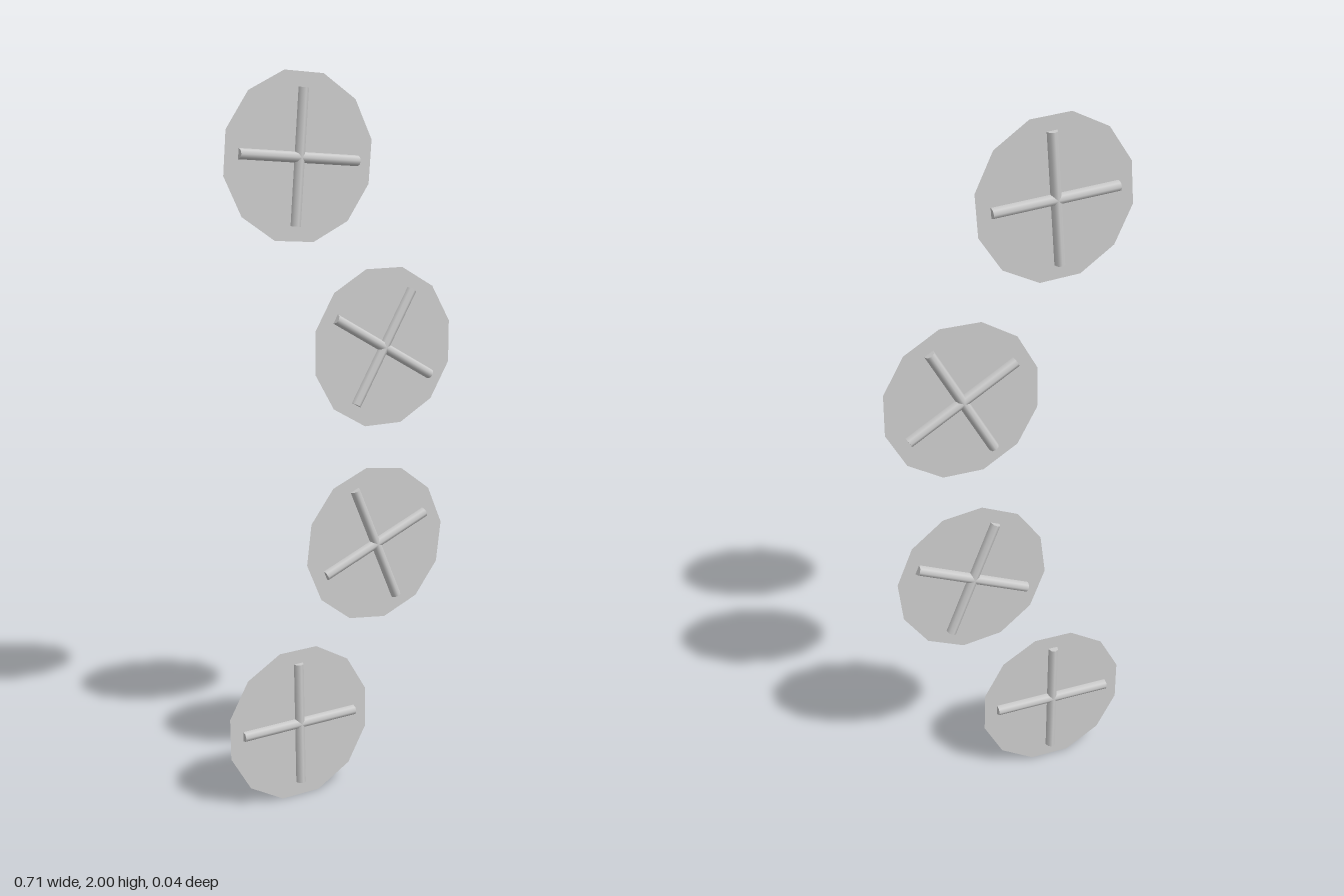
import * as THREE from 'three';

// x, y and turn (degrees) of each disc, bottom to top
const DISCS = [
  [-0.136, 0.22, 0.8],
  [0.113, 0.707, 22.9],
  [0.136, 1.264, -30.2],
  [-0.126, 1.782, -4.3],
];

export function createModel() {
  const group = new THREE.Group();
  const discMat = new THREE.MeshStandardMaterial({ color: 0xcccccc, side: THREE.DoubleSide });
  const rodMat = new THREE.MeshStandardMaterial({ color: 0xcccccc });

  // Flat twelve-sided disc, its sides squared to the rods
  const discGeo = new THREE.CircleGeometry(0.224, 12, Math.PI / 12);

  // Slim rod, a little deeper than it is wide
  const rodGeo = new THREE.CylinderGeometry(1, 1, 0.354, 8);
  rodGeo.scale(0.0145, 1, 0.0185);
  rodGeo.translate(0, 0, -0.0015);

  DISCS.forEach(([x, y, turn], i) => {
    const unit = new THREE.Group();
    unit.name = `crossedDisc${i + 1}`;
    unit.position.set(x, y, 0);
    unit.rotation.z = THREE.MathUtils.degToRad(turn);

    const disc = new THREE.Mesh(discGeo, discMat);
    disc.name = 'disc';
    unit.add(disc);

    // Two rods crossing at the middle, showing on both faces
    ['uprightRod', 'crossRod'].forEach((name, k) => {
      const rod = new THREE.Mesh(rodGeo, rodMat);
      rod.name = name;
      rod.rotation.z = k * Math.PI / 2;
      unit.add(rod);
    });
    group.add(unit);
  });
  return group;
}
